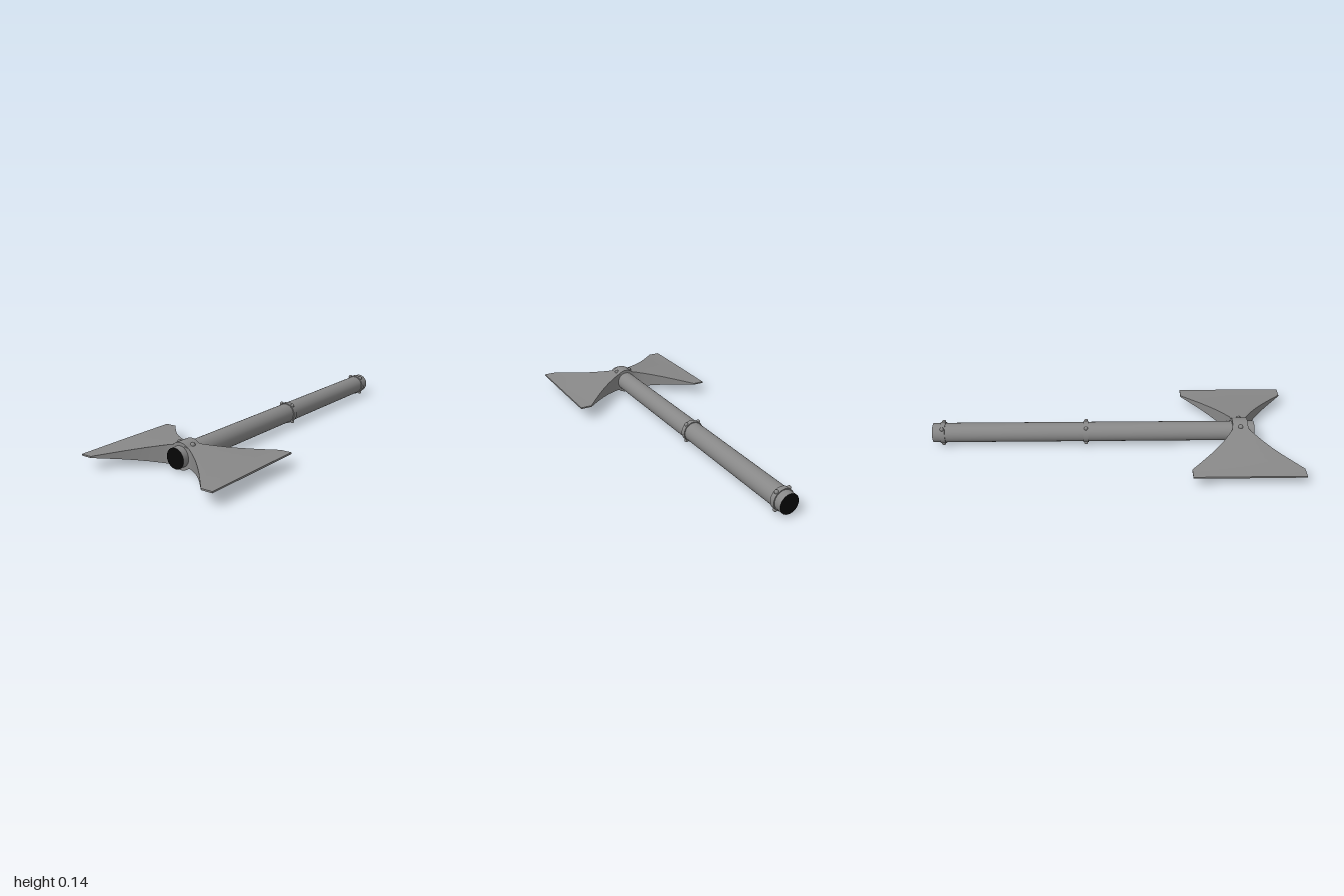
import * as THREE from 'three';
import { toCreasedNormals } from 'three/addons/utils/BufferGeometryUtils.js';

const AXIS_Y = 0.071;
const HEAD_X = -0.705;

const steel = new THREE.MeshStandardMaterial({ color: 0x888888 });
const black = new THREE.MeshStandardMaterial({ color: 0x060606 });

// Cylinder lying along x, centred on the shaft axis
function rod(name, radius, x0, x1, materials) {
  const geometry = new THREE.CylinderGeometry(radius, radius, x1 - x0, 40);
  geometry.rotateZ(-Math.PI / 2);
  const mesh = new THREE.Mesh(geometry, materials);
  mesh.name = name;
  mesh.position.x = (x0 + x1) / 2;
  return mesh;
}

// Four domed rivets around the shaft, mirrored up/down and front/back
function rivets(name, x, distance, size) {
  const group = new THREE.Group();
  group.name = name;
  const angle = THREE.MathUtils.degToRad(52);
  for (const sy of [-1, 1]) {
    for (const sz of [-1, 1]) {
      const rivet = new THREE.Mesh(new THREE.SphereGeometry(size, 14, 10), steel);
      rivet.name = 'rivet';
      rivet.position.set(x, sy * Math.sin(angle) * distance, sz * Math.cos(angle) * distance);
      group.add(rivet);
    }
  }
  return group;
}

// Wedge blade: flares in width, thins towards the cutting edge at +z,
// with a slight crown so that the flared corners run out to a point
function bladeGeometry() {
  const stations = [ // z, half width
    [0.03, 0.043], [0.06, 0.046], [0.10, 0.072], [0.15, 0.107], [0.20, 0.148],
    [0.25, 0.194], [0.30, 0.244], [0.35, 0.295], [0.413, 0.295],
  ];
  const n = stations.length - 1;
  const geometry = new THREE.BoxGeometry(1, 1, 1, 2, 1, n);
  const p = geometry.attributes.position;
  for (let i = 0; i < p.count; i++) {
    const [z, halfWidth] = stations[Math.round((p.getZ(i) + 0.5) * n)];
    const side = Math.sign(p.getX(i));
    const halfThick = side === 0
      ? THREE.MathUtils.mapLinear(z, 0.05, 0.413, 0.052, 0.005)
      : Math.max(0.004, THREE.MathUtils.mapLinear(z, 0.05, 0.35, 0.052, 0.004));
    p.setXYZ(i, side * halfWidth, Math.sign(p.getY(i)) * halfThick, z);
  }
  return toCreasedNormals(geometry, 0.5);
}

export function createModel() {
  const model = new THREE.Group();
  model.name = 'doubleAxe';

  const axe = new THREE.Group();
  axe.name = 'axe';
  axe.position.y = AXIS_Y;
  model.add(axe);

  // Shaft with dark ends
  axe.add(rod('shaft', 0.054, -0.785, 1, [steel, black, black]));

  // Bands along the shaft
  for (const x of [0.15, 0.945]) {
    axe.add(rod('band', 0.059, x - 0.014, x + 0.014, steel));
    axe.add(rivets('bandRivets', x, 0.06, 0.011));
  }

  // Axe head: collar, rivets and a blade on each side, tilted very slightly
  const head = new THREE.Group();
  head.name = 'head';
  head.rotation.x = -0.012;
  axe.add(head);
  head.add(rod('collar', 0.071, HEAD_X - 0.042, HEAD_X + 0.042, steel));
  head.add(rivets('collarRivets', HEAD_X, 0.069, 0.013));

  const geometry = bladeGeometry();
  for (const [name, turn] of [['frontBlade', 0], ['backBlade', Math.PI]]) {
    const blade = new THREE.Mesh(geometry, steel);
    blade.name = name;
    blade.position.x = HEAD_X;
    blade.rotation.y = turn;
    head.add(blade);
  }

  return model;
}
